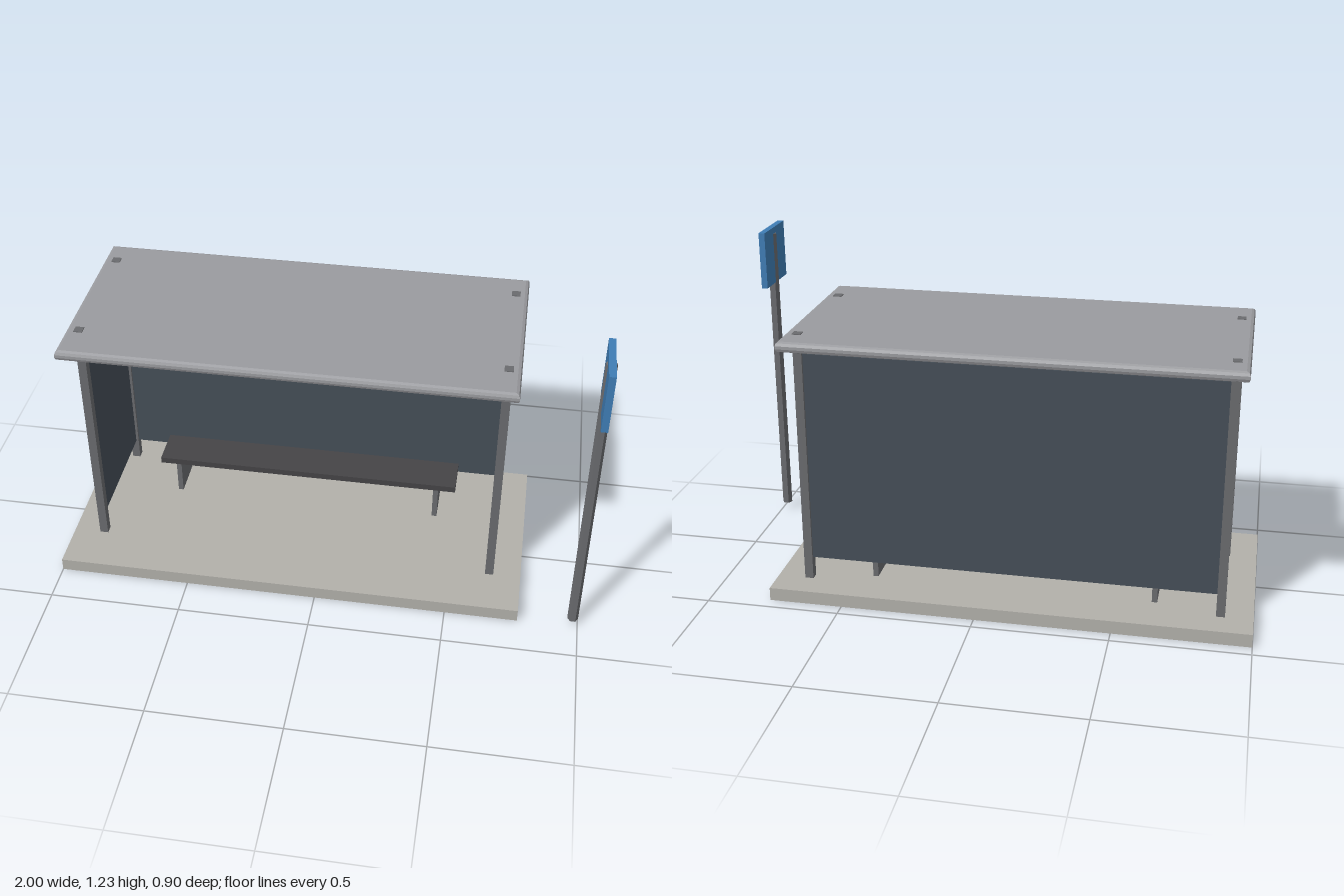
import * as THREE from 'three';

const mat = (color) => new THREE.MeshStandardMaterial({ color, flatShading: true });

export function createModel() {
  const model = new THREE.Group();
  model.name = 'busShelter';

  const concrete = mat(0xb2b0aa), steel = mat(0x6a6b6e), roofGrey = mat(0x9a9b9f);
  const glass = mat(0x454e57), cream = mat(0xded5c2), blue = mat(0x3f7db5), dark = mat(0x454446);

  const add = (name, geometry, material, x, y, z) => {
    const mesh = new THREE.Mesh(geometry, material);
    mesh.name = name;
    mesh.position.set(x, y, z);
    model.add(mesh);
    return mesh;
  };

  // Box given by its minimum and maximum on each axis
  const box = (name, material, [x0, x1], [y0, y1], [z0, z1]) =>
    add(name, new THREE.BoxGeometry(x1 - x0, y1 - y0, z1 - z0), material,
      (x0 + x1) / 2, (y0 + y1) / 2, (z0 + z1) / 2);

  // Ground slab
  box('base', concrete, [-1, 0.775], [0, 0.05], [-0.45, 0.355]);

  // Four square posts, just showing through the roof
  const postX = [-0.882, 0.655], postZ = [-0.328, 0.158], h = 0.016;
  for (const x of postX) {
    for (const z of postZ) {
      box('post', steel, [x - h, x + h], [0.05, 1.016], [z - h, z + h]);
    }
  }

  // Roof slab with bevelled rim
  const bevel = 0.014, hx = 0.815 - bevel, hz = 0.3725 - bevel;
  const outline = new THREE.Shape([
    new THREE.Vector2(-hx, -hz), new THREE.Vector2(hx, -hz),
    new THREE.Vector2(hx, hz), new THREE.Vector2(-hx, hz),
  ]);
  const roofGeo = new THREE.ExtrudeGeometry(outline, {
    depth: 0.011, bevelEnabled: true, bevelThickness: bevel, bevelSize: bevel, bevelSegments: 2,
  });
  roofGeo.rotateX(-Math.PI / 2);
  add('roof', roofGeo, roofGrey, -0.114, 0.974 + bevel, -0.0675);

  // Back and left-hand wall panels
  const t = 0.006;
  box('backPanel', glass, [-0.866, 0.639], [0.135, 0.94], [postZ[0] - t, postZ[0] + t]);
  box('sidePanel', glass, [postX[0] - t, postX[0] + t], [0.135, 0.94], [-0.312, 0.142]);

  // Display board at the open end
  box('displayBoard', cream, [0.643, 0.667], [0.185, 0.83], [-0.295, 0.107]);

  // Bench
  box('benchSeat', dark, [-0.715, 0.49], [0.185, 0.21], [-0.282, -0.13]);
  for (const x of [-0.641, 0.412]) {
    box('benchLeg', steel, [x - 0.01, x + 0.01], [0.05, 0.185], [-0.282, -0.13]);
  }

  // Stop sign pole and plate
  const pole = new THREE.CylinderGeometry(0.02, 0.02, 1.17, 6);
  pole.rotateY(Math.PI / 2);
  add('signPole', pole, steel, 0.98, 0.615, 0.339);
  box('signPlate', blue, [0.968, 0.992], [1.003, 1.225], [0.229, 0.45]);

  return model;
}
